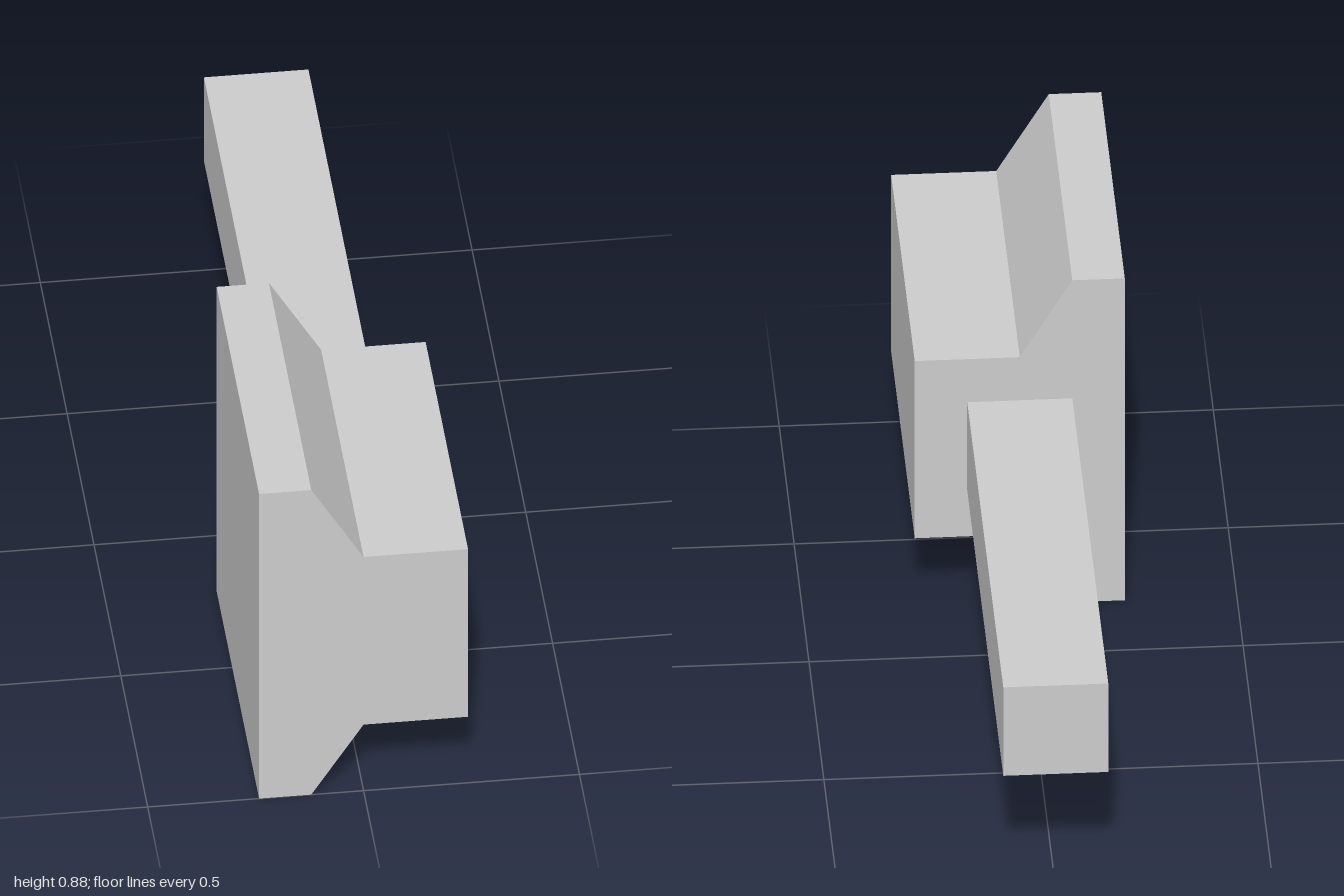
import * as THREE from 'three';

export function createModel() {
  const group = new THREE.Group();
  const material = new THREE.MeshStandardMaterial({ color: 0xcccccc, flatShading: true });
  const backZ = 0.21;

  // Head: flanged profile extruded from the shank to the front
  const profile = new THREE.Shape([
    [-0.242, 0], [-0.121, 0], [0, 0.191], [0.242, 0.191],
    [0.242, 0.676], [0, 0.676], [-0.121, 0.881], [-0.242, 0.881],
  ].map(([x, y]) => new THREE.Vector2(x, y)));
  const head = new THREE.Mesh(
    new THREE.ExtrudeGeometry(profile, { depth: 1 - backZ, bevelEnabled: false }), material);
  head.name = 'head';
  head.position.z = backZ;

  // Shank: square bar running back from the head
  const shank = new THREE.Mesh(new THREE.BoxGeometry(0.242, 0.242, 1 + backZ), material);
  shank.name = 'shank';
  shank.position.set(0, 0.437, (backZ - 1) / 2);

  group.add(head, shank);
  return group;
}
